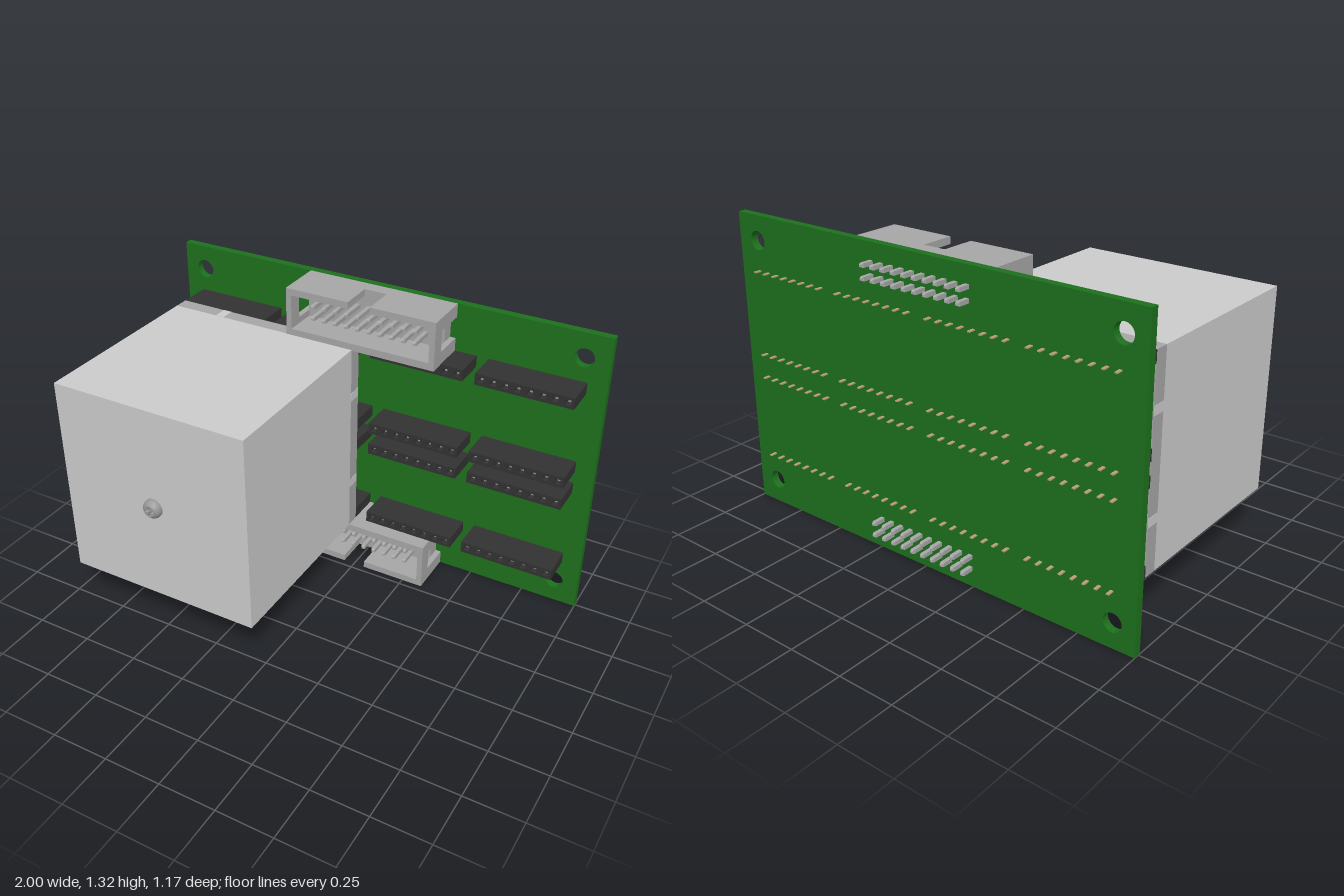
import * as THREE from 'three';

const mat = (color) => new THREE.MeshStandardMaterial({ color });
const grey = mat(0xcccccc), darkGrey = mat(0xa6a6a6), steel = mat(0x999999);
const green = mat(0x1d701d), black = mat(0x323232), gold = mat(0xb8a070);

const H = 1.32, BACK = -0.525, FRONT = -0.49;

function add(parent, name, geometry, material, x = 0, y = 0, z = 0) {
  const mesh = new THREE.Mesh(geometry, material);
  mesh.name = name;
  mesh.position.set(x, y, z);
  parent.add(mesh);
  return mesh;
}

// Box given by its extents on each axis
function block(parent, name, material, [x0, x1], [y0, y1], [z0, z1]) {
  return add(parent, name, new THREE.BoxGeometry(x1 - x0, y1 - y0, z1 - z0), material,
    (x0 + x1) / 2, (y0 + y1) / 2, (z0 + z1) / 2);
}

function rectangle(target, cx, cy, w, h) {
  return target.moveTo(cx - w / 2, cy - h / 2).lineTo(cx + w / 2, cy - h / 2)
    .lineTo(cx + w / 2, cy + h / 2).lineTo(cx - w / 2, cy + h / 2).closePath();
}

const extrude = (shape, depth) =>
  new THREE.ExtrudeGeometry(shape, { depth, bevelEnabled: false, curveSegments: 24 });

// Circuit board with four mounting holes
function makeBoard() {
  const shape = rectangle(new THREE.Shape(), 0, H / 2, 2, H);
  for (const x of [-0.9, 0.893])
    for (const y of [0.108, 1.212])
      shape.holes.push(new THREE.Path().absarc(x, y, 0.041, 0, Math.PI * 2, true));
  const board = new THREE.Mesh(extrude(shape, FRONT - BACK), green);
  board.name = 'circuitBoard';
  board.position.z = BACK;
  return board;
}

// Eight-way socket strip: solid foot, perforated top, contacts and solder tails
const PITCH = 0.0525;
const stripShape = rectangle(new THREE.Shape(), 0, 0, 0.42, 0.051);
for (let i = 0; i < 8; i++)
  stripShape.holes.push(rectangle(new THREE.Path(), (i - 3.5) * PITCH, 0, 0.024, 0.024));
const stripTop = extrude(stripShape, 0.06);
const stripFoot = new THREE.BoxGeometry(0.42, 0.051, 0.085);
const contact = new THREE.BoxGeometry(0.011, 0.011, 0.045);
const tail = new THREE.BoxGeometry(0.013, 0.005, 0.04);

function makeSocketStrip(x, y) {
  const g = new THREE.Group();
  g.name = 'socketStrip';
  g.position.set(x, y, FRONT);
  add(g, 'stripFoot', stripFoot, black, 0, 0, 0.0425);
  add(g, 'stripTop', stripTop, black, 0, 0, 0.085);
  for (let i = 0; i < 8; i++) {
    const px = (i - 3.5) * PITCH;
    add(g, 'contact', contact, steel, px, 0, 0.105);
    add(g, 'solderTail', tail, gold, px, 0, -0.045);
  }
  return g;
}

// Shrouded twenty-pin connector; its keyed side lies at y = 0
function makeConnector() {
  const g = new THREE.Group();
  g.name = 'ribbonConnector';
  const top = -0.28, floor = -0.43, sill = -0.345;
  block(g, 'connectorFloor', darkGrey, [-0.32, 0.32], [0, 0.215], [FRONT, floor]);
  block(g, 'innerWall', darkGrey, [-0.32, 0.32], [0.183, 0.215], [floor, top]);
  for (const s of [-1, 1]) {
    const span = (a, b) => (s > 0 ? [a, b] : [-b, -a]);
    block(g, 'keyedWall', darkGrey, span(0.051, 0.32), [0, 0.03], [floor, top]);
    // End wall with a window
    const end = span(0.32, 0.345);
    block(g, 'endLintel', darkGrey, end, [0, 0.215], [sill, top]);
    block(g, 'endPost', darkGrey, end, [0, 0.06], [FRONT, sill]);
    block(g, 'endPost', darkGrey, end, [0.155, 0.215], [FRONT, sill]);
  }
  // Square pins with tapered ends
  const pin = new THREE.BoxGeometry(0.018, 0.018, 0.255);
  const tip = new THREE.CylinderGeometry(0.006, 0.0127, 0.01, 4, 1).rotateY(Math.PI / 4).rotateX(Math.PI / 2);
  const tipMaterial = new THREE.MeshStandardMaterial({ color: 0xa6a6a6, flatShading: true });
  for (let i = 0; i < 10; i++)
    for (const y of [0.081, 0.134]) {
      const x = (i - 4.5) * 0.0528;
      add(g, 'pin', pin, darkGrey, x, y, -0.4475);
      add(g, 'pinTip', tip, tipMaterial, x, y, -0.315);
      add(g, 'pinTip', tip, tipMaterial, x, y, -0.58).rotation.y = Math.PI;
    }
  return g;
}

// Pan-head screw with a cross recess, pointing along +z
function makeScrew() {
  const g = new THREE.Group();
  g.name = 'screw';
  const profile = [[0.042, 0], [0.042, 0.01], [0.039, 0.02], [0.034, 0.027], [0.025, 0.033]]
    .map(([r, z]) => new THREE.Vector2(r, z));
  add(g, 'screwRim', new THREE.LatheGeometry(profile, 32).rotateX(Math.PI / 2), steel);
  const face = new THREE.Shape().absarc(0, 0, 0.0255, 0, Math.PI * 2);
  const cross = new THREE.Path();
  const a = 0.006, b = 0.023;
  [[b, a], [a, a], [a, b], [-a, b], [-a, a], [-b, a], [-b, -a], [-a, -a], [-a, -b], [a, -b], [a, -a], [b, -a]]
    .forEach(([x, y], i) => (i ? cross.lineTo(x, y) : cross.moveTo(x, y)));
  cross.closePath();
  face.holes.push(cross);
  add(g, 'screwFace', extrude(face, 0.02), steel, 0, 0, 0.0145);
  add(g, 'recessFloor', new THREE.CircleGeometry(0.0255, 24), steel, 0, 0, 0.016);
  return g;
}

// Cubic housing with a darker rear panel, edge tabs and screws
function makeHousing() {
  const g = new THREE.Group();
  g.name = 'housing';
  const xs = [-0.92, -0.03], ys = [0.215, 1.108], rear = [-0.345, -0.282];
  const cx = -0.475, cy = 0.66, e = 0.001;
  block(g, 'housingBody', grey, xs, ys, [rear[1], 0.55]);
  block(g, 'rearPanel', darkGrey, xs, ys, rear);
  for (const s of [-1, 1]) {
    const ty = cy + s * 0.22, tx = cx + s * 0.215;
    block(g, 'sideTab', grey, [xs[0] - e, xs[1] + e], [ty - 0.02, ty + 0.02], rear);
    block(g, 'edgeTab', grey, [tx - 0.02, tx + 0.02], [ys[0] - e, ys[1] + e], rear);
    const rearScrew = makeScrew();
    rearScrew.position.set(cx, cy + s * 0.316, rear[0]);
    rearScrew.rotation.y = Math.PI;
    g.add(rearScrew);
  }
  const frontScrew = makeScrew();
  frontScrew.position.set(cx, cy, 0.55);
  g.add(frontScrew);
  return g;
}

export function createModel() {
  const model = new THREE.Group();
  model.name = 'circuitBoardAssembly';
  model.add(makeBoard(), makeHousing());

  for (const y of [0.24, 0.608, 0.713, 1.082])
    for (const x of [-0.71, -0.24, 0.235, 0.708]) model.add(makeSocketStrip(x, y));

  const lower = makeConnector();
  const upper = makeConnector();
  upper.rotation.z = Math.PI;
  upper.position.y = H;
  model.add(lower, upper);
  return model;
}
